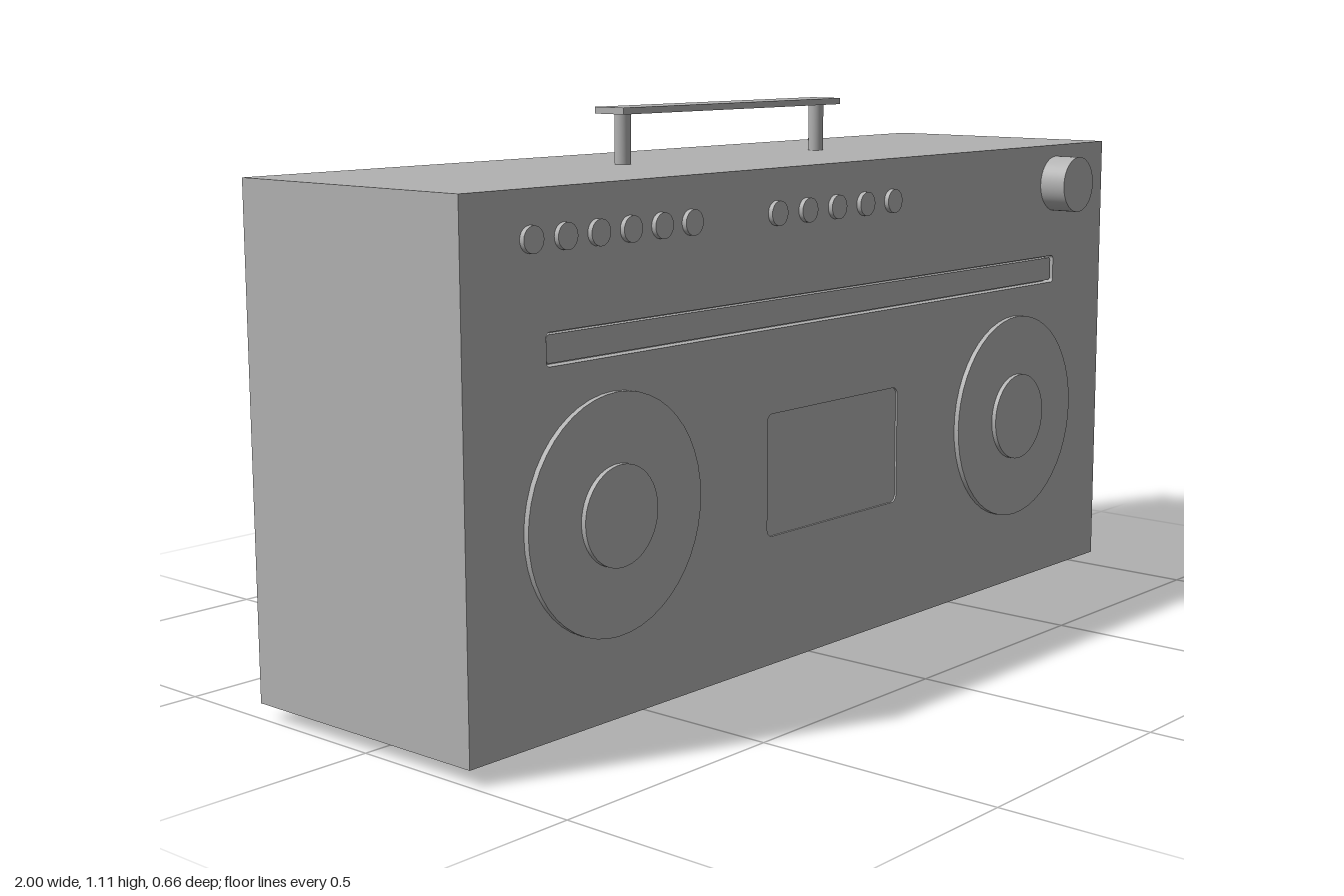
import * as THREE from 'three';

const T = 0.025; // wall thickness
const Y0 = 0.03, Y1 = 1.003, ZB = -0.295, ZF = 0.27;

export function createModel() {
  const grey = new THREE.MeshStandardMaterial({ color: 0xb2b2b2 });
  grey.name = 'grey';
  const root = new THREE.Group();
  root.name = 'portableStereo';

  const add = (name, geo, x = 0, y = 0, z = 0) => {
    const mesh = new THREE.Mesh(geo, grey);
    mesh.name = name;
    mesh.position.set(x, y, z);
    root.add(mesh);
    return mesh;
  };
  // box given by its limits
  const box = (name, x0, x1, y0, y1, z0, z1) =>
    add(name, new THREE.BoxGeometry(x1 - x0, y1 - y0, z1 - z0), (x0 + x1) / 2, (y0 + y1) / 2, (z0 + z1) / 2);
  // disc facing the front, from z0 to z1
  const disc = (name, x, y, r, z0, z1) =>
    add(name, new THREE.CylinderGeometry(r, r, z1 - z0, 48).rotateX(Math.PI / 2), x, y, (z0 + z1) / 2);
  const upright = (name, x, z, r, y0, y1) =>
    add(name, new THREE.CylinderGeometry(r, r, y1 - y0, 32), x, (y0 + y1) / 2, z);

  // rectangle with rounded corners
  const rect = (x0, y0, x1, y1, r = 0) => {
    const s = new THREE.Shape();
    if (!r) {
      s.moveTo(x0, y0).lineTo(x1, y0).lineTo(x1, y1).lineTo(x0, y1).closePath();
      return s;
    }
    s.absarc(x1 - r, y0 + r, r, -Math.PI / 2, 0);
    s.absarc(x1 - r, y1 - r, r, 0, Math.PI / 2);
    s.absarc(x0 + r, y1 - r, r, Math.PI / 2, Math.PI);
    s.absarc(x0 + r, y0 + r, r, Math.PI, Math.PI * 1.5);
    s.closePath();
    return s;
  };
  const circle = (x, y, r) => new THREE.Path().absarc(x, y, r, 0, Math.PI * 2, true);
  const plate = (shape, holes, depth) => {
    shape.holes.push(...holes);
    return new THREE.ExtrudeGeometry(shape, { depth, bevelEnabled: false, curveSegments: 20 });
  };

  // hollow cabinet: front with shallow recesses, back and base with openings
  const strip = [-0.805, 0.695, 0.8, 0.755];
  const cassette = [-0.212, 0.288, 0.21, 0.53];
  add('frontWall', plate(rect(-1, Y0, 1, Y1), [rect(...strip, 0.008), rect(...cassette, 0.015)], T), 0, 0, ZF - T);

  const row = [-0.147, -0.049, 0.049, 0.147];
  const sockets = () => [...row.map(x => circle(x, 0.8, 0.028)), circle(0.124, 0.205, 0.031)];
  const ports = [-1, 1].map(s => circle(s * 0.642, 0.443, 0.07));
  add('backWall', plate(rect(-1, Y0, 1, Y1), [...sockets(), ...ports], T), 0, 0, ZB);
  add('backPanel', plate(rect(-0.27, 0.055, 0.27, 0.895), sockets(), 0.032), 0, 0, ZB - 0.032);

  const vents = [-0.188, -0.063, 0.063, 0.188].map(x => circle(x, -0.01, 0.026));
  add('baseWall', plate(rect(-1, ZB + T, 1, ZF - T), vents, T).rotateX(Math.PI / 2), 0, Y0 + T, 0);
  box('topWall', -1, 1, Y1 - T, Y1, ZB + T, ZF - T);
  for (const s of [-1, 1]) {
    const cx = s * (1 - T / 2);
    box('sideWall', cx - T / 2, cx + T / 2, Y0 + T, Y1 - T, ZB + T, ZF - T);
    box('divider', s * 0.29 - 0.01, s * 0.29 + 0.01, Y0 + T, Y1 - T, ZB + T, ZF - T);
  }

  // tuning strip and cassette door, set just below the front surface
  add('tuningStrip', plate(rect(-0.8, 0.7, 0.795, 0.75, 0.006), [], 0.015), 0, 0, ZF - 0.02);
  box('tuningStripBacking', -0.82, 0.82, 0.68, 0.77, ZF - T - 0.01, ZF - T + 0.003);
  add('cassetteDoor', plate(rect(...cassette, 0.015), [], 0.02), 0, 0, ZF - 0.024);

  // speakers
  for (const s of [-1, 1]) {
    disc('speakerRim', s * 0.642, 0.41, 0.223, ZF, ZF + 0.011);
    disc('speakerCone', s * 0.642, 0.41, 0.094, ZF + 0.011, ZF + 0.021);
  }

  // buttons and volume knob
  for (let i = 0; i < 6; i++) disc('leftButton', -0.84 + i * 0.0815, 0.917, 0.024, ZF, ZF + 0.01);
  for (let i = 0; i < 5; i++) disc('centreButton', -0.187 + i * 0.0923, 0.917, 0.024, ZF, ZF + 0.01);
  disc('volumeKnob', 0.803, 0.917, 0.061, ZF, ZF + 0.06);

  // carrying handle
  for (const s of [-1, 1]) upright('handlePost', s * 0.302, -0.021, 0.016, Y1, 1.102);
  box('handleBar', -0.34, 0.338, 1.101, 1.114, -0.058, 0.017);

  // feet
  for (const x of [-0.877, 0, 0.877])
    for (const z of [0.15, -0.175]) upright('foot', x, z, 0.051, 0, Y0);

  return root;
}
